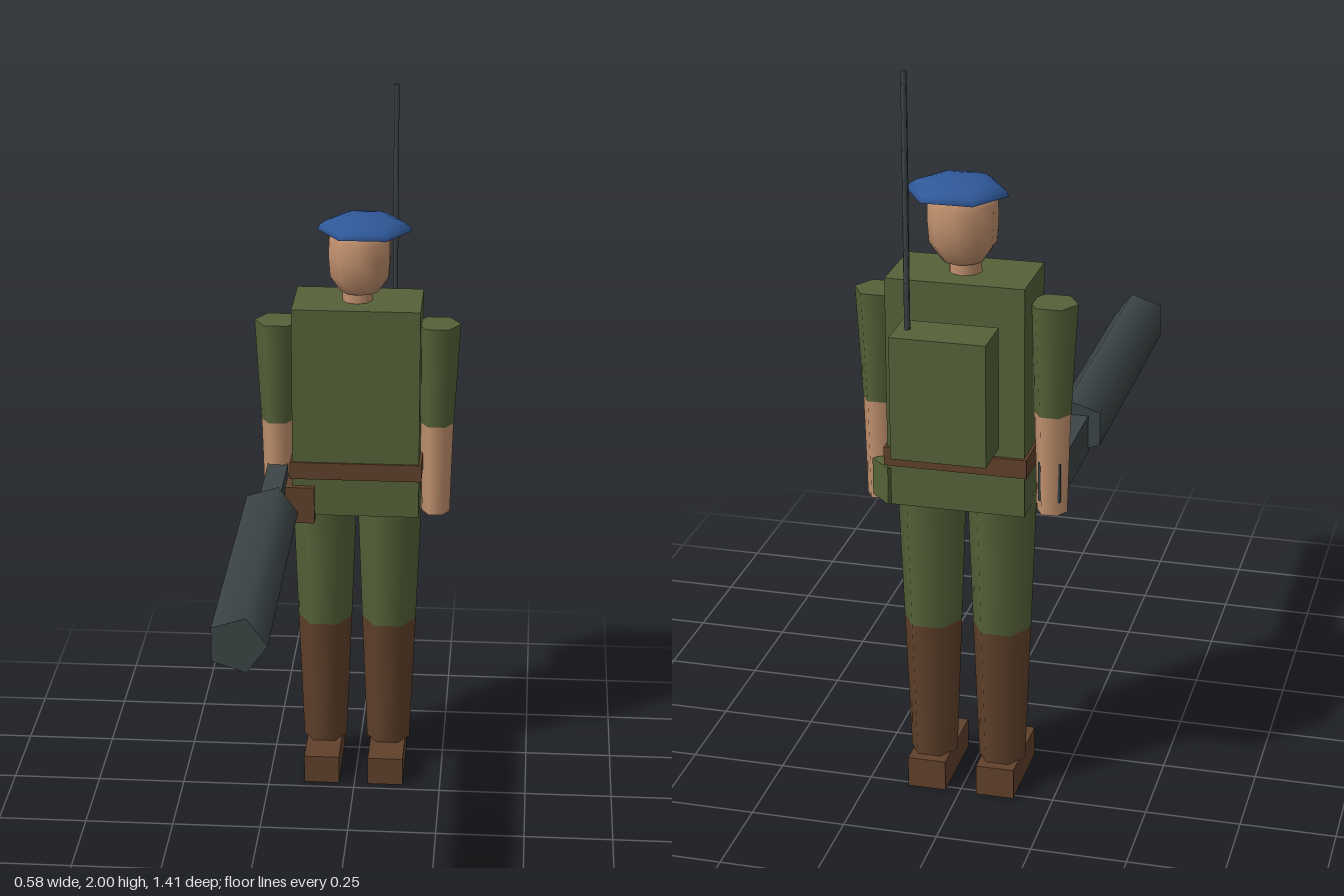
import * as THREE from 'three';

const material = (name, color, side = THREE.FrontSide) => {
  const m = new THREE.MeshStandardMaterial({ color, side });
  m.name = name;
  return m;
};

export function createModel() {
  const green = material('olive cloth', 0x566239);
  const brown = material('brown leather', 0x60412b);
  const skin = material('skin', 0xc3926f);
  const blue = material('blue felt', 0x2f5899, THREE.DoubleSide);
  const metal = material('gunmetal', 0x3c4546);
  const CX = -0.003, CZ = -0.434; // centre line of the figure

  const model = new THREE.Group();
  model.name = 'soldier';
  const add = (name, geometry, mat, x = 0, y = 0, z = 0) => {
    const mesh = new THREE.Mesh(geometry, mat);
    mesh.name = name;
    mesh.position.set(x, y, z);
    model.add(mesh);
    return mesh;
  };
  // box given by its limits on each axis
  const box = (name, mat, [x0, x1], [y0, y1], [z0, z1]) =>
    add(name, new THREE.BoxGeometry(x1 - x0, y1 - y0, z1 - z0), mat,
      (x0 + x1) / 2, (y0 + y1) / 2, (z0 + z1) / 2);
  // upright tapered prism with a corner pointing to +x
  const limb = (name, mat, x, z, [y0, y1], rBottom, rTop, sides = 6) =>
    add(name, new THREE.CylinderGeometry(rTop, rBottom, y1 - y0, sides).rotateY(Math.PI / 2),
      mat, x, (y0 + y1) / 2, z);

  // body
  box('torso', green, [-0.18, 0.177], [0.83, 1.44], [-0.538, -0.33]);
  box('belt', brown, [-0.187, 0.184], [0.94, 0.99], [-0.547, -0.325]);
  limb('neck', skin, CX, CZ, [1.42, 1.5], 0.043, 0.043, 8);

  // head
  const headProfile = [[0, 1.46], [0.055, 1.47], [0.085, 1.515], [0.089, 1.57],
    [0.088, 1.62], [0.076, 1.645], [0, 1.66]].map(([r, y]) => new THREE.Vector2(r, y));
  add('head', new THREE.LatheGeometry(headProfile, 10), skin, 0.003, 0, -0.432);

  // beret: flattened half dome
  const beret = add('beret', new THREE.SphereGeometry(1, 6, 5, 0, Math.PI * 2, 0, Math.PI / 2),
    blue, 0.016, 1.641, CZ);
  beret.scale.set(0.131, 0.045, 0.121);

  // arms and legs
  for (const [side, s] of [['left', 1], ['right', -1]]) {
    const armX = CX + s * 0.225, legX = CX + s * 0.093;
    limb(side + 'Sleeve', green, armX, CZ, [1.08, 1.375], 0.048, 0.064);
    limb(side + 'Forearm', skin, armX, CZ, [0.81, 1.08], 0.04, 0.047);
    limb(side + 'Trouser', green, legX, CZ, [0.47, 0.85], 0.078, 0.092);
    limb(side + 'Boot', brown, legX, CZ, [0.08, 0.47], 0.063, 0.078);
    box(side + 'Foot', brown, [legX - 0.051, legX + 0.051], [0, 0.084], [-0.517, -0.276]);
  }

  // hip gear
  box('holster', brown, [-0.2, -0.117], [0.81, 0.918], [-0.4, -0.314]);
  const pouch = add('hipPouch', new THREE.BoxGeometry(0.08, 0.1, 0.08), green, 0.175, 0.88, -0.488);
  pouch.rotation.y = Math.PI / 4;

  // radio pack with its aerial
  box('radioPack', green, [-0.124, 0.119], [1.03, 1.35], [-0.706, -0.577]);
  limb('aerial', metal, 0.09, -0.64, [1.34, 2], 0.008, 0.008, 5);

  // launcher held in the right hand
  add('launcherTube', new THREE.CylinderGeometry(0.078, 0.078, 0.845, 5)
    .rotateY(Math.PI / 2).rotateX(Math.PI / 2), metal, -0.225, 0.918, 0.2855);
  box('launcherStock', metal, [-0.256, -0.199], [0.848, 0.953], [-0.468, -0.13]);

  return model;
}
